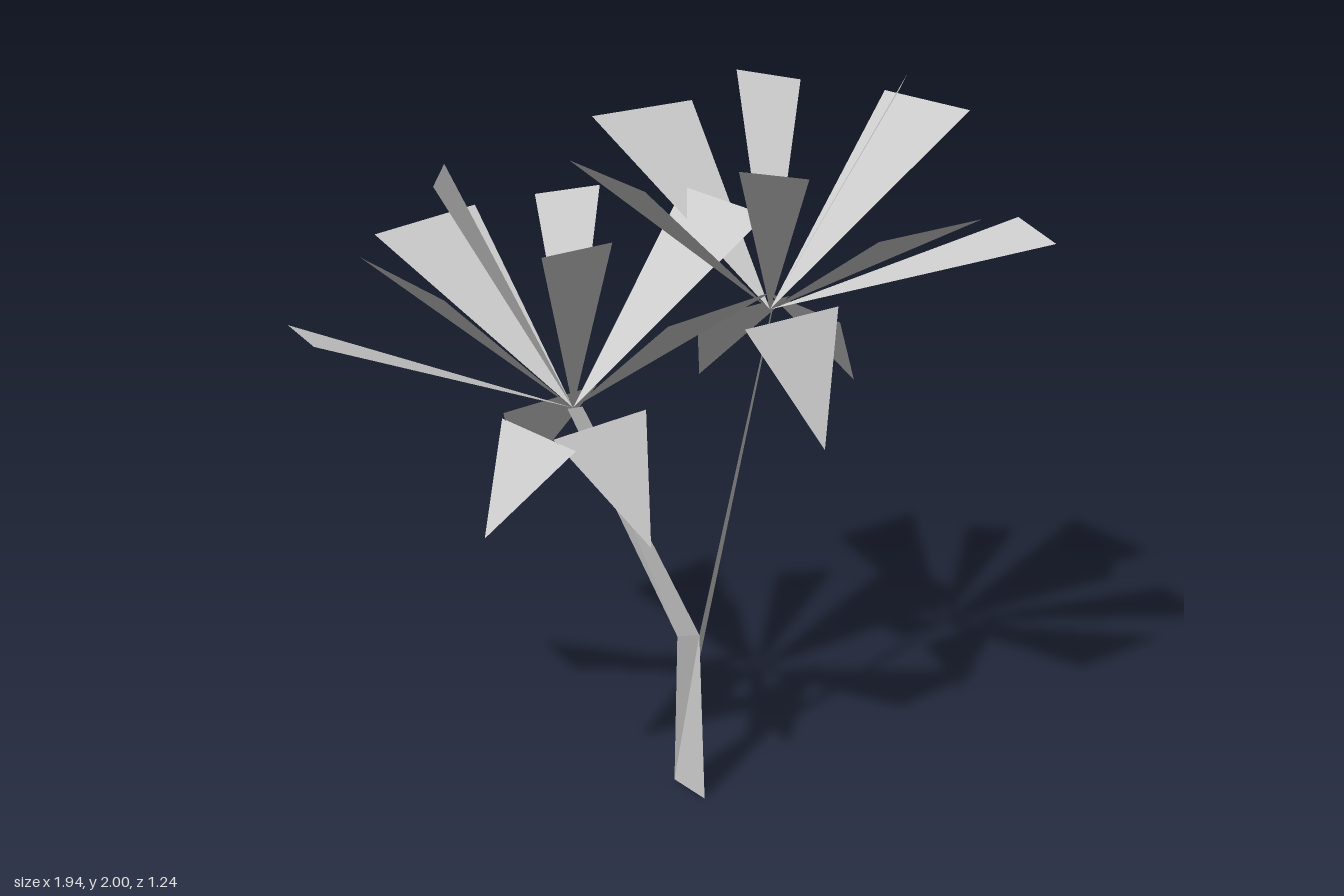
import * as THREE from 'three';

const material = new THREE.MeshStandardMaterial({ color: 0xcccccc, flatShading: true, side: THREE.DoubleSide });

// Flat polygon drawn as a triangle fan around its first corner
function sheet(name, corners) {
  const positions = [];
  for (let i = 1; i < corners.length - 1; i++) {
    positions.push(...corners[0], ...corners[i], ...corners[i + 1]);
  }
  const geometry = new THREE.BufferGeometry();
  geometry.setAttribute('position', new THREE.Float32BufferAttribute(positions, 3));
  geometry.computeVertexNormals();
  const mesh = new THREE.Mesh(geometry, material);
  mesh.name = name;
  return mesh;
}

// Outer corners of each upright leaf; the inner corner is the crown centre
const LEAVES = [
  [[-0.71, 0.21, -0.15], [-0.65, 0.22, 0.05]],
  [[-0.47, 0.36, -0.40], [-0.19, 0.37, -0.59]],
  [[-0.53, 0.48, 0.15], [-0.35, 0.46, 0.44]],
  [[-0.34, 0.61, 0.02], [-0.30, 0.62, -0.14]],
  [[-0.05, 0.46, -0.37], [0.12, 0.48, -0.36]],
  [[0.16, 0.41, 0.56], [0.44, 0.42, 0.38]],
  [[-0.11, 0.52, 0.34], [0.06, 0.55, 0.34]],
  [[0.35, 0.45, -0.41], [0.52, 0.45, -0.13]],
];

// Upper corners and lower tip of each hanging leaf
const HANGING = [
  [[-0.07, -0.02, 0.16], [0.19, -0.02, -0.01], [0.16, -0.28, 0.28]],
  [[0.08, 0, -0.15], [-0.18, 0, 0.01], [-0.12, -0.30, -0.24]],
  [[-0.02, -0.03, 0.22], [-0.18, -0.03, -0.03], [-0.25, -0.27, 0.18]],
];

function crown(name, position, turn) {
  const group = new THREE.Group();
  group.name = name;
  for (const [a, b] of LEAVES) group.add(sheet('leaf', [[0, 0, 0], a, b]));
  for (const corners of HANGING) group.add(sheet('hangingLeaf', corners));
  group.position.set(...position);
  group.rotation.y = turn;
  return group;
}

export function createModel() {
  const model = new THREE.Group();
  model.name = 'forkedPlant';

  // Trunk and the two branches share these corners
  const baseBack = [0.025, 0, -0.08], baseFront = [0.09, 0, 0.04];
  const forkLeft = [0.08, 0.48, 0], forkRight = [0.02, 0.48, 0];
  model.add(sheet('trunk', [baseBack, baseFront, forkLeft, forkRight]));
  model.add(sheet('rightBranch', [forkRight, forkLeft, [-0.235, 1.18, 0.055], [-0.275, 1.18, 0.065]]));
  model.add(sheet('leftBranch', [baseBack, baseFront, forkLeft, [0.27, 1.38, -0.035], [0.28, 1.38, -0.06]]));

  // Same crown twice, turned about half a circle
  model.add(crown('rightCrown', [-0.26, 1.18, 0.06], 0));
  model.add(crown('leftCrown', [0.27, 1.38, -0.05], -Math.PI - 0.08));
  return model;
}
